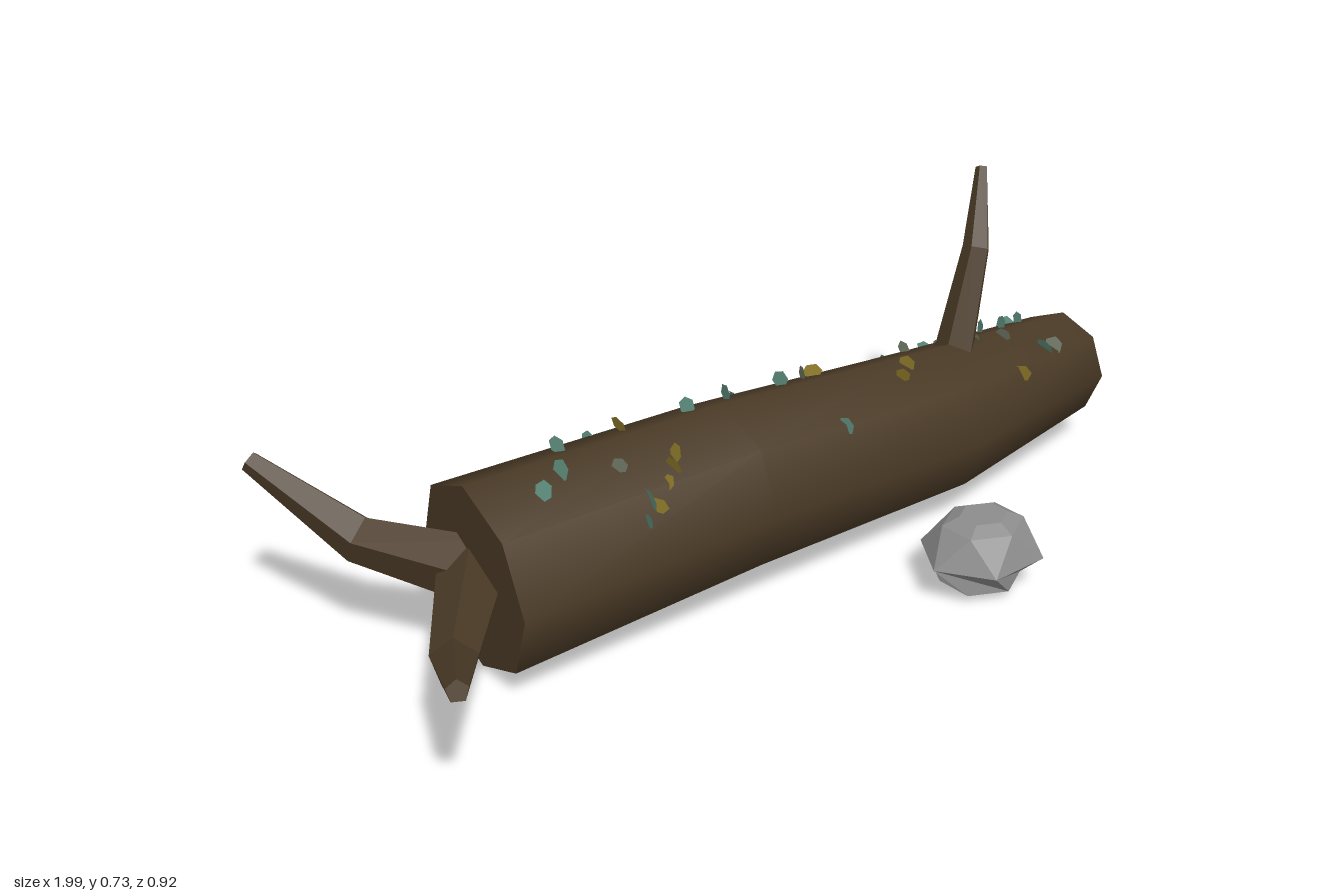
import * as THREE from 'three';

const V = (a) => new THREE.Vector3(...a);

// Sweeps a polygon along points [x, y, z, radius]; caps are optional, twist turns single rings.
function sweep(path, sides, ref, { startCap = true, endCap = true, flat = true, twist = [] } = {}) {
  const pts = path.map(V), pos = [], index = [];
  const ring = (i) => {
    const t = pts[Math.min(i + 1, pts.length - 1)].clone().sub(pts[Math.max(i - 1, 0)]).normalize();
    const v = t.clone().cross(V(ref)).normalize();
    const u = v.clone().cross(t);
    for (let j = 0; j < sides; j++) {
      const a = ((j + (twist[i] || 0)) / sides) * Math.PI * 2;
      const p = pts[i].clone().addScaledVector(u, Math.cos(a) * path[i][3]).addScaledVector(v, Math.sin(a) * path[i][3]);
      pos.push(p.x, p.y, p.z);
    }
  };
  pts.forEach((_, i) => ring(i));
  for (let i = 0; i < pts.length - 1; i++) {
    for (let j = 0; j < sides; j++) {
      const a = i * sides + j, b = i * sides + ((j + 1) % sides);
      index.push(a, b, a + sides, b, b + sides, a + sides);
    }
  }
  const cap = (i, flip) => {
    const s = pos.length / 3;
    ring(i);
    for (let j = 1; j < sides - 1; j++) index.push(s, s + (flip ? j + 1 : j), s + (flip ? j : j + 1));
  };
  if (startCap) cap(0, true);
  if (endCap) cap(pts.length - 1, false);
  let g = new THREE.BufferGeometry();
  g.setAttribute('position', new THREE.Float32BufferAttribute(pos, 3));
  g.setIndex(index);
  if (flat) g = g.toNonIndexed();
  g.computeVertexNormals();
  return g;
}

export function createModel() {
  const model = new THREE.Group();
  model.name = 'fallenLog';
  const mat = (name, color, side = THREE.DoubleSide) => {
    const m = new THREE.MeshStandardMaterial({ color, side });
    m.name = name;
    return m;
  };
  const bark = mat('bark', 0x4a3a26);
  const stone = mat('stone', 0x8c8c8c, THREE.FrontSide);
  const leafMats = { T: mat('tealLeaf', 0x5f8f7e), Y: mat('yellowLeaf', 0x8f7a2a), G: mat('greyLeaf', 0x727a68) };
  const add = (name, geometry, material, parent = model) => {
    const m = new THREE.Mesh(geometry, material);
    m.name = name;
    parent.add(m);
    return m;
  };

  // Hollow trunk, open at the thin end
  const trunk = [
    [-0.685, 0.215, -0.057, 0.202], [-0.1, 0.235, -0.015, 0.186],
    [0.48, 0.215, 0.007, 0.169], [0.985, 0.19, -0.053, 0.128],
  ];
  add('trunk', sweep(trunk, 8, [0, 1, 0], { endCap: false, flat: false }), bark);

  // Two roots at the thick end and one upright branch
  add('frontRoot', sweep([[-0.64, 0.21, -0.12, 0.075], [-0.865, 0.215, 0.17, 0.047], [-0.975, 0.305, 0.37, 0.021]], 5, [0, 1, 0]), bark);
  add('backRoot', sweep([[-0.64, 0.215, -0.05, 0.075], [-0.81, 0.26, -0.265, 0.05], [-0.935, 0.4, -0.445, 0.022]], 5, [0, 1, 0]), bark);
  add('branch', sweep([[0.555, 0.275, -0.01, 0.052], [0.648, 0.575, -0.03, 0.032], [0.724, 0.73, -0.098, 0.014]], 5, [0, 0, 1]), bark);

  // Faceted rock beside the log
  const rock = add('rock', sweep(
    [[0, 0.005, 0, 0.055], [0, 0.022, 0, 0.092], [0, 0.088, 0, 0.142], [0, 0.155, 0, 0.092], [0, 0.172, 0, 0.055]],
    6, [1, 0, 0], { twist: [0.5, 0.5, 0, 0.5, 0.5] }), stone);
  rock.position.set(0.307, 0, 0.345);
  rock.scale.z = 0.9;

  // Height of the trunk's upper surface at x, z
  const surface = (x, z) => {
    let i = 0;
    while (i < 2 && x > trunk[i + 1][0]) i++;
    const k = (x - trunk[i][0]) / (trunk[i + 1][0] - trunk[i][0]);
    const [, cy, cz, r] = trunk[i].map((a, n) => a + (trunk[i + 1][n] - a) * k);
    return cy + Math.sqrt(Math.max(r * r * 0.93 - (z - cz) ** 2, 0));
  };

  // Small upright leaves scattered on top: x, z per colour
  const spots = {
    T: [[-0.5, -0.22], [-0.38, -0.19], [-0.33, -0.17], [-0.45, -0.1], [-0.57, 0.03], [-0.51, 0], [-0.4, 0.13], [-0.38, 0.11],
      [-0.15, -0.07], [-0.07, -0.16], [-0.04, -0.08], [0.04, -0.15], [0.1, -0.16], [0.11, -0.08], [0.12, 0.12], [0.47, -0.13],
      [0.6, -0.13], [0.65, -0.14], [0.75, -0.1], [0.88, -0.14], [0.89, -0.11], [0.81, 0.05], [0.8, -0.08]],
    Y: [[-0.56, -0.22], [-0.37, 0.12], [-0.33, 0.1], [-0.3, 0.08], [-0.28, 0.06], [-0.3, -0.1], [0.22, -0.1], [0.34, 0.06],
      [0.38, 0.03], [0.67, -0.12], [0.68, 0.1], [0.72, -0.11]],
    G: [[-0.4, 0.04], [0.19, -0.1], [0.5, -0.1], [0.64, -0.02], [0.72, 0], [0.84, 0.05]],
  };
  let seed = 7;
  const rand = () => (seed = (seed * 16807) % 2147483647) / 2147483647;
  const leaves = new THREE.Group();
  leaves.name = 'leaves';
  model.add(leaves);
  const leafShape = new THREE.CircleGeometry(0.021, 6);
  for (const [key, list] of Object.entries(spots)) {
    for (const [x, z] of list) {
      const leaf = add('leaf', leafShape, leafMats[key], leaves);
      leaf.position.set(x, surface(x, z) + 0.006, z);
      leaf.rotation.set((rand() - 0.5) * 0.8, Math.PI / 2 + (rand() - 0.5) * 1.1, rand() * 3, 'YXZ');
      leaf.scale.set(0.8 + rand() * 0.4, 0.7 + rand() * 0.4, 1);
    }
  }
  return model;
}
